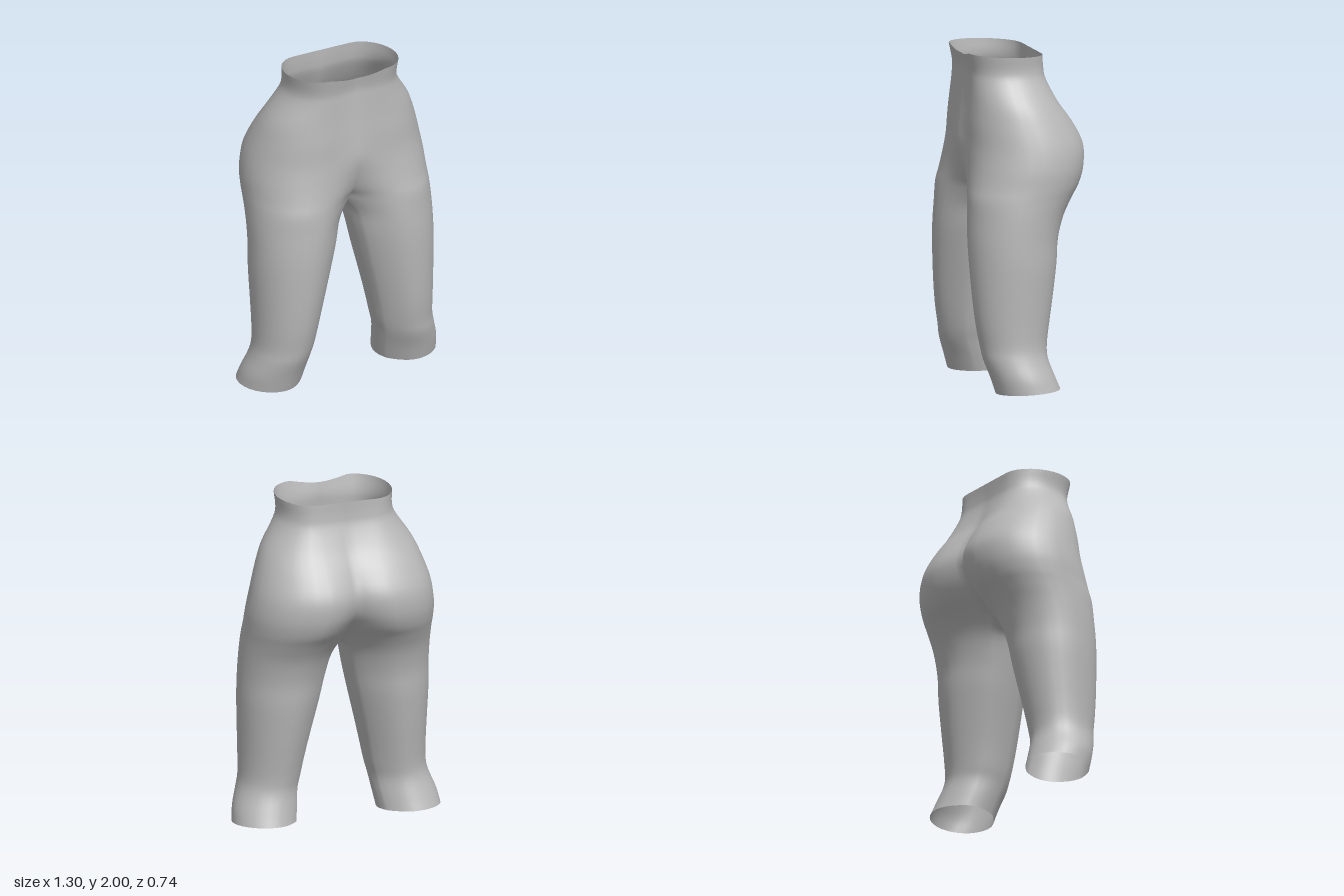
import * as THREE from 'three';
import { mergeVertices } from 'three/addons/utils/BufferGeometryUtils.js';

// Hip sections, top to crotch:
// y, outer x, front z, back z, x of front bulge, x of back bulge, centre front z, centre back z
const HIPS = [
  [2.0, 0.355, 0.318, -0.13, 0.18, 0.19, 0.305, -0.13],
  [1.9, 0.35, 0.3, -0.135, 0.17, 0.19, 0.295, -0.13],
  [1.83, 0.375, 0.3, -0.15, 0.17, 0.19, 0.3, -0.14],
  [1.7, 0.46, 0.305, -0.215, 0.18, 0.2, 0.312, -0.19],
  [1.58, 0.51, 0.312, -0.3, 0.2, 0.2, 0.325, -0.26],
  [1.45, 0.55, 0.315, -0.365, 0.22, 0.2, 0.335, -0.31],
  [1.33, 0.572, 0.325, -0.365, 0.26, 0.22, 0.305, -0.28],
  [1.23, 0.577, 0.34, -0.33, 0.29, 0.25, 0.26, -0.19],
  [1.15, 0.58, 0.355, -0.275, 0.31, 0.29, 0.2, -0.1],
];

// Leg sections, crotch to hem: y, outer x, front z, back z, inner x
const LEGS = [
  [1.04, 0.585, 0.362, -0.215, 0.035],
  [0.9, 0.588, 0.366, -0.175, 0.07],
  [0.75, 0.59, 0.362, -0.16, 0.105],
  [0.55, 0.584, 0.35, -0.13, 0.155],
  [0.4, 0.58, 0.335, -0.105, 0.19],
  [0.28, 0.582, 0.315, -0.087, 0.215],
  [0.2, 0.6, 0.3, -0.088, 0.235],
  [0.1, 0.635, 0.265, -0.12, 0.25],
  [0.02, 0.65, 0.235, -0.15, 0.265],
];

const INSET = 5;   // columns between the centre line and a bulge
const SIDE = 14;   // columns around the outer side
const INNER = 8;   // columns across the inner thigh
const STEPS = 4;   // rows between two sections
const OUTER = INSET * 2 + SIDE;

// Front centre -> outer side -> back centre
function outerPoints([y, w, f, b, cf, cb, zf, zb], x0) {
  const pts = [], mid = (f + b) / 2;
  for (let i = 0; i < INSET; i++) {
    const u = i / INSET;
    pts.push(new THREE.Vector3(x0 + (cf - x0) * u, y, f - (f - zf) * (1 - u) ** 2));
  }
  for (let i = 0; i <= SIDE; i++) {
    const a = (i / SIDE) * Math.PI;
    const c = a < Math.PI / 2 ? cf : cb;
    const h = a < Math.PI / 2 ? f - mid : mid - b;
    pts.push(new THREE.Vector3(c + (w - c) * Math.sin(a), y, mid + h * Math.cos(a)));
  }
  for (let i = INSET - 1; i >= 0; i--) {
    const u = i / INSET;
    pts.push(new THREE.Vector3(x0 + (cb - x0) * u, y, b - (b - zb) * (1 - u) ** 2));
  }
  return pts;
}

// Back corner -> inner thigh -> front corner
function innerPoints(y, x0, bulge, sag, zf, zb) {
  const pts = [];
  for (let i = 1; i < INNER; i++) {
    const v = i / INNER, s = Math.sin(Math.PI * v);
    pts.push(new THREE.Vector3(x0 - bulge * s, y - sag * s, zb + (zf - zb) * v));
  }
  return pts;
}

function sectionRings() {
  const rings = HIPS.map((r) => outerPoints(r, 0));
  // crotch saddle joins front and back centre lines
  const last = HIPS[HIPS.length - 1];
  rings[rings.length - 1].push(...innerPoints(last[0], 0, 0, 0.07, last[6], last[7]));
  for (const [y, w, f, b, inner] of LEGS) {
    const c = (inner + w) / 2, bulge = 0.13 * (w - c), x0 = inner + bulge;
    const mid = (f + b) / 2, h = (f - b) / 4;
    rings.push([
      ...outerPoints([y, w, f, b, c, c, mid + h, mid - h], x0),
      ...innerPoints(y, x0, bulge, 0, mid + h, mid - h),
    ]);
  }
  // waist edge slopes backwards and dips at the front centre
  for (const p of rings[0]) {
    const dip = p.z > 0.1 ? 0.025 * Math.max(0, 1 - (p.x / 0.18) ** 2) : 0;
    p.y = 1.985 + 0.05 * p.z - dip;
  }
  // hem is lower at the front and inside
  for (const p of rings[rings.length - 1]) {
    p.y = 0.012 - 0.05 * p.z + 0.03 * Math.max(0, p.x - 0.4);
  }
  return rings;
}

function trouserGeometry() {
  const rings = sectionRings();
  const columns = OUTER + INNER;
  const crotch = HIPS.length - 1, end = rings.length - 1;

  // a smooth curve down every column
  const grid = [];
  for (let j = 0; j < columns; j++) {
    const start = j <= OUTER ? 0 : crotch;
    const curve = new THREE.CatmullRomCurve3(
      rings.slice(start).map((r) => r[j]), false, 'catmullrom', 0.5);
    const col = [];
    for (let i = start * STEPS; i <= end * STEPS; i++) {
      const p = curve.getPoint((i / STEPS - start) / (end - start));
      const centre = i <= crotch * STEPS && (j === 0 || j >= OUTER);
      p.x = centre ? 0 : Math.max(0, p.x);
      col[i] = p;
    }
    grid.push(col);
  }

  const positions = [];
  const tri = (a, b, c) => {
    for (const p of [a, b, c]) positions.push(p.x, p.y, p.z);
    for (const p of [a, c, b]) positions.push(-p.x, p.y, p.z);   // mirrored half
  };
  for (let i = 0; i < end * STEPS; i++) {
    const count = i < crotch * STEPS ? OUTER : columns;
    for (let j = 0; j < count; j++) {
      const k = (j + 1) % columns;
      const a = grid[j][i], b = grid[k][i], c = grid[k][i + 1], d = grid[j][i + 1];
      tri(a, d, c);
      tri(a, c, b);
    }
  }
  const raw = new THREE.BufferGeometry();
  raw.setAttribute('position', new THREE.Float32BufferAttribute(positions, 3));
  const geometry = mergeVertices(raw, 1e-5);
  geometry.computeVertexNormals();
  return geometry;
}

export function createModel() {
  const cloth = new THREE.MeshStandardMaterial({ color: 0xb8b8b8, side: THREE.DoubleSide });
  cloth.name = 'grey cloth';
  const trousers = new THREE.Mesh(trouserGeometry(), cloth);
  trousers.name = 'trousers';
  const group = new THREE.Group();
  group.name = 'trousersModel';
  group.add(trousers);
  return group;
}
